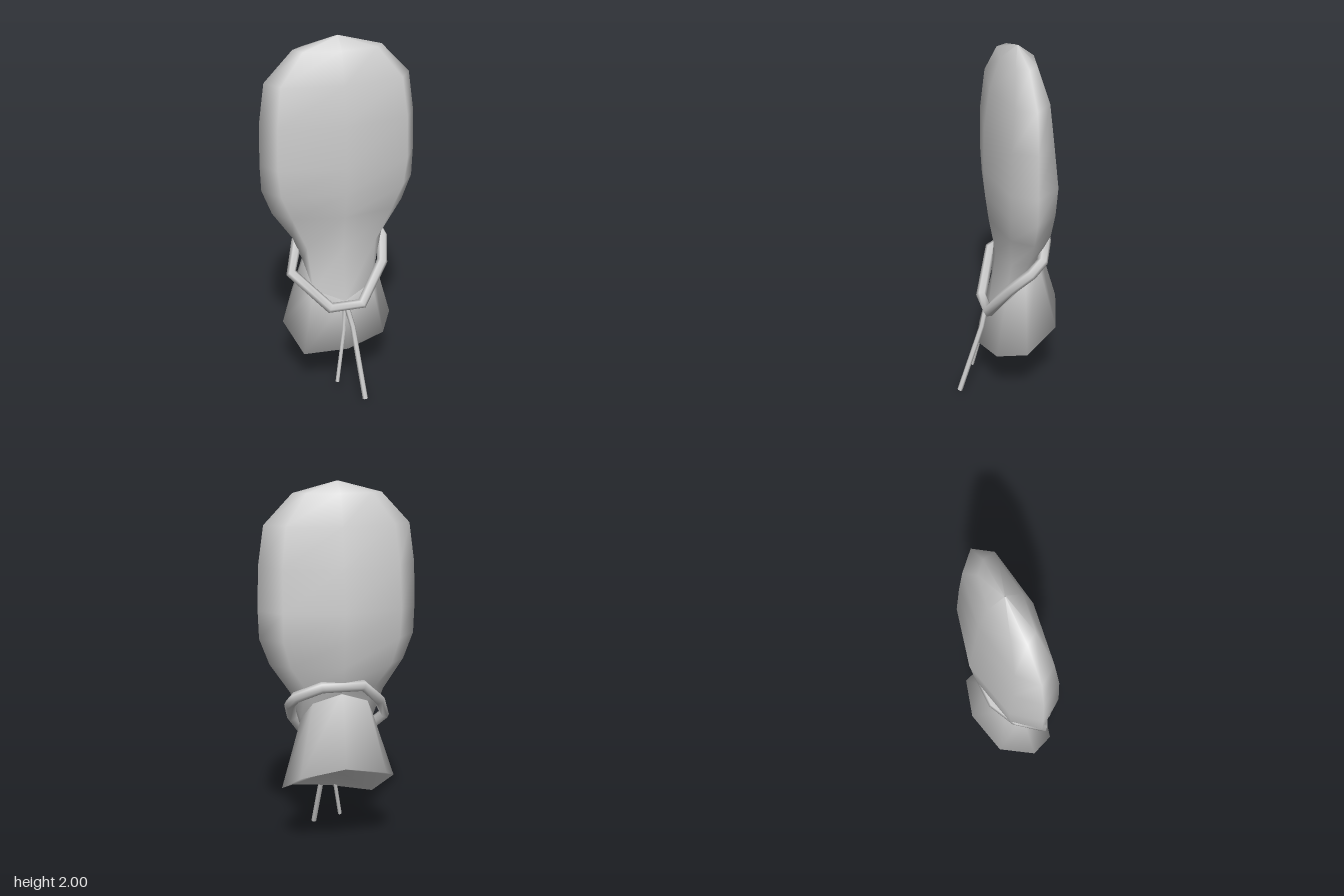
import * as THREE from 'three';

const grey = new THREE.MeshStandardMaterial({ color: 0xcccccc, side: THREE.DoubleSide });

// Skin stacked rings (listed top to bottom, each front -> +x -> back -> -x)
function skin(rings) {
  const n = rings[0].length;
  const index = [];
  for (let r = 0; r < rings.length - 1; r++) {
    for (let i = 0; i < n; i++) {
      const j = (i + 1) % n, u = r * n, l = u + n;
      index.push(l + i, l + j, u + j, l + i, u + j, u + i);
    }
  }
  const geo = new THREE.BufferGeometry();
  geo.setAttribute('position', new THREE.Float32BufferAttribute(rings.flat(2), 3));
  geo.setIndex(index);
  geo.computeVertexNormals();
  return geo;
}

// Flattened eight-sided ring, tilted so that its front and back heights differ;
// frontSpread sets how wide the front panel is
function ring([yFront, yBack, w, zFront, zBack, frontSpread = 0.83]) {
  const zMid = -0.065;
  const half = [
    [0, zFront],
    [frontSpread * w, zMid + 0.67 * (zFront - zMid)],
    [w, zMid],
    [0.74 * w, zMid + 0.65 * (zBack - zMid)],
    [0, zBack],
  ];
  const all = [...half, ...half.slice(1, 4).reverse().map(([x, z]) => [-x, z])];
  return all.map(([x, z]) => {
    const t = (zFront - z) / (zFront - zBack);
    return [x, yFront + (yBack - yFront) * t, z];
  });
}

// Tube with one straight segment between each pair of path points
function cord(points, radius, sides, closed) {
  const path = new THREE.CatmullRomCurve3(
    points.map(p => new THREE.Vector3(...p)), closed, 'catmullrom', 0.5);
  path.getPointAt = path.getPoint;
  path.getTangentAt = path.getTangent;
  return new THREE.TubeGeometry(path, points.length - (closed ? 0 : 1), radius, sides, closed);
}

export function createModel() {
  const group = new THREE.Group();
  const add = (name, geo) => {
    const mesh = new THREE.Mesh(geo, grey);
    mesh.name = name;
    group.add(mesh);
  };

  // Stuffed sack, narrowing to a slanted neck
  const neck = ring([0.54, 0.9, 0.2, 0.09, -0.185]);
  const sackRings = [
    [2.0, 2.0, 0.004, -0.06, -0.068],
    [1.94, 1.94, 0.235, 0.025, -0.15],
    [1.78, 1.78, 0.387, 0.08, -0.205],
    [1.57, 1.57, 0.417, 0.11, -0.235],
    [1.34, 1.34, 0.423, 0.115, -0.273],
    [1.19, 1.19, 0.418, 0.108, -0.257, 0.8],
    [1.05, 1.05, 0.365, 0.09, -0.24, 0.76],
    [0.84, 0.95, 0.255, 0.052, -0.21, 0.76],
  ].map(ring);
  add('sack', skin([...sackRings, neck]));

  // Loose cloth flaring out below the tie, its hem rolling into a hollow underside
  const hem = [
    [0, 0.27, 0.155], [0.22, 0.31, 0.1], [0.305, 0.35, -0.05], [0.235, 0.46, -0.23],
    [0, 0.52, -0.295], [-0.235, 0.46, -0.23], [-0.325, 0.38, -0.05], [-0.24, 0.24, 0.1],
  ];
  const hollow = [0, 0.44, -0.06];
  add('skirt', skin([neck, hem, hem.map(() => hollow)]));

  // Rope slung round the neck
  add('rope', cord([
    [0.09, 0.525, 0.115], [0.23, 0.73, 0.03], [0.262, 0.83, -0.08], [0.24, 0.885, -0.145],
    [0.11, 0.945, -0.2], [-0.11, 0.945, -0.2], [-0.22, 0.84, -0.12], [-0.285, 0.72, 0.015],
    [-0.09, 0.525, 0.115],
  ], 0.03, 6, true));

  // Hanging rope ends
  add('longRopeEnd', cord([
    [0.005, 0.51, 0.11], [0.03, 0.4, 0.14], [0.064, 0.008, 0.282],
  ], 0.015, 6, false));
  add('shortRopeEnd', cord([
    [-0.005, 0.51, 0.1], [-0.015, 0.38, 0.12], [-0.07, 0.08, 0.18],
  ], 0.011, 6, false));

  return group;
}
